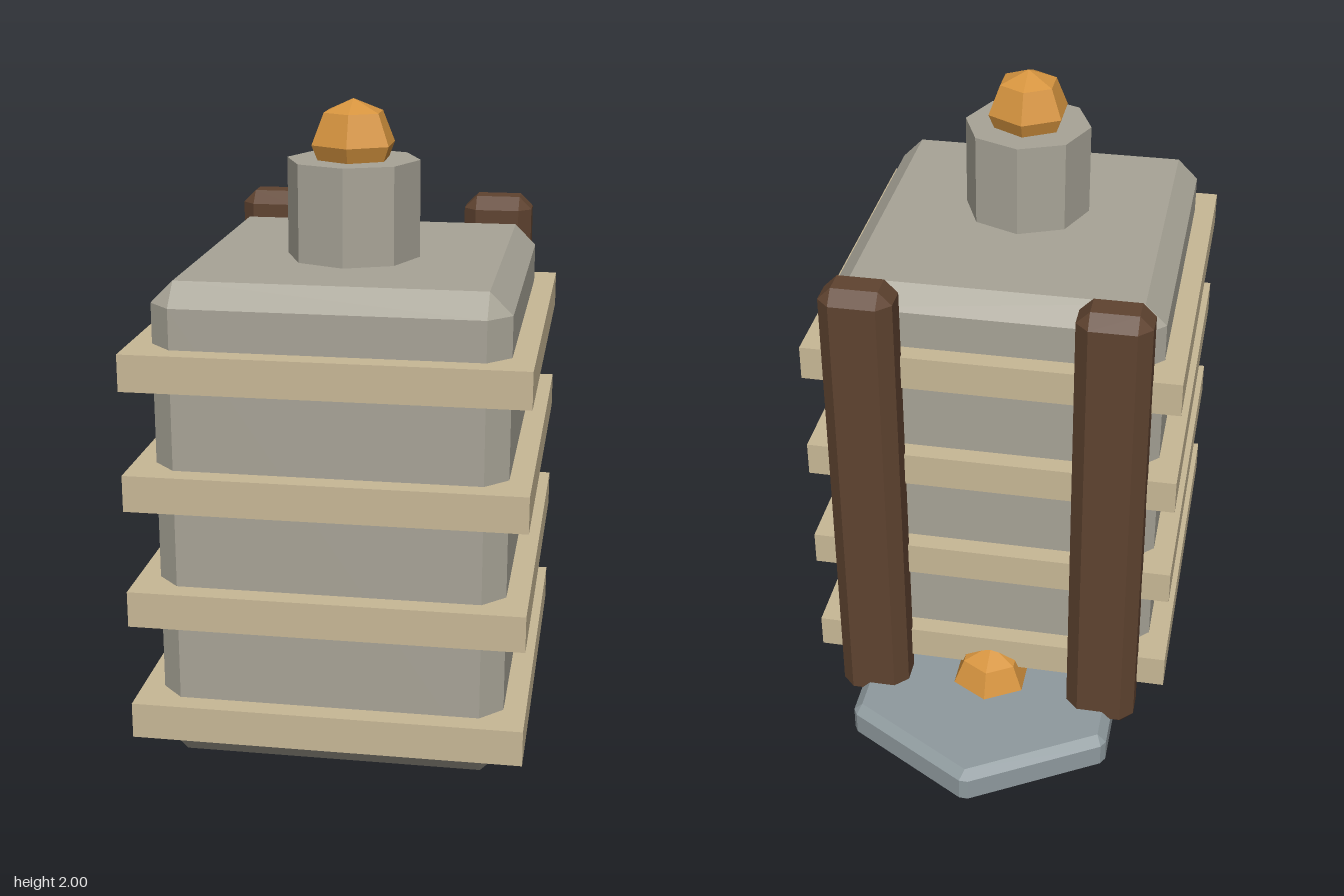
import * as THREE from 'three';
import { ConvexGeometry } from 'three/addons/geometries/ConvexGeometry.js';

const material = (name, color) => {
  const m = new THREE.MeshStandardMaterial({ color, flatShading: true });
  m.name = name;
  return m;
};

// Box with every edge and corner cut by c
function chamferBox(w, h, d, c) {
  const points = [];
  for (const sx of [-1, 1]) for (const sy of [-1, 1]) for (const sz of [-1, 1]) {
    for (let axis = 0; axis < 3; axis++) {
      const half = [w / 2, h / 2, d / 2].map((v, i) => (i === axis ? v : v - c));
      points.push(new THREE.Vector3(sx * half[0], sy * half[1], sz * half[2]));
    }
  }
  return new ConvexGeometry(points);
}

// Hexagonal slab with chamfered rims and clipped corners
function chamferHexagon(inner, h, c) {
  const points = [];
  for (let i = 0; i < 6; i++) {
    const a = i * Math.PI / 3;
    const x = inner * Math.sin(a), z = inner * Math.cos(a);
    for (const s of [-1, 1]) {
      points.push(new THREE.Vector3(x, s * h / 2, z));
      // push the corner outwards along each neighbouring side's normal
      for (const t of [-1, 1]) {
        const n = a + t * Math.PI / 6;
        points.push(new THREE.Vector3(x + c * Math.sin(n), s * (h / 2 - c), z + c * Math.cos(n)));
      }
    }
  }
  return new ConvexGeometry(points);
}

export function createModel() {
  const group = new THREE.Group();
  const stone = material('stone', 0xa8a497);
  const tan = material('tan', 0xc8b896);
  const wood = material('brown wood', 0x5f4330);
  const slate = material('slate', 0x8f9a9e);
  const amber = material('amber', 0xd6943f);
  const dark = material('dark panel', 0x2b2b21);

  const add = (name, geometry, mat, x, y, z) => {
    const mesh = new THREE.Mesh(geometry, mat);
    mesh.name = name;
    mesh.position.set(x, y, z);
    group.add(mesh);
    return mesh;
  };

  // Main block and the bands around it
  add('body', chamferBox(1.01, 1.44, 1.1, 0.065), stone, 0, 0.82, 0.22);
  for (let i = 0; i < 4; i++) {
    add('band' + (i + 1), new THREE.BoxGeometry(1.14, 0.107, 1.225), tan, 0, 0.248 + i * 0.352, 0.222);
  }

  // Neck and its knob
  add('neck', new THREE.CylinderGeometry(0.197, 0.197, 0.3, 8), stone, 0, 1.676, 0.285);
  const knob = new THREE.SphereGeometry(0.13, 6, 4).rotateY(Math.PI / 2);
  add('topKnob', knob, amber, 0, 1.87, 0.285);

  // Rear slab with a knob set into it
  add('rearSlab', chamferHexagon(0.445, 0.13, 0.028), slate, 0, 0.075, -0.372);
  add('rearKnob', knob, amber, 0, 0.13, -0.375).scale.set(1.03, 1, 1.03);

  // Rear posts
  const post = chamferBox(0.22, 1.535, 0.155, 0.04);
  for (const side of [-1, 1]) {
    add(side > 0 ? 'leftPost' : 'rightPost', post, wood, side * 0.373, 0.842, -0.415);
  }

  // Small panel on the left side
  add('sidePanel', new THREE.BoxGeometry(0.06, 0.155, 0.22), dark, 0.506, 0.731, 0.03);

  return group;
}
